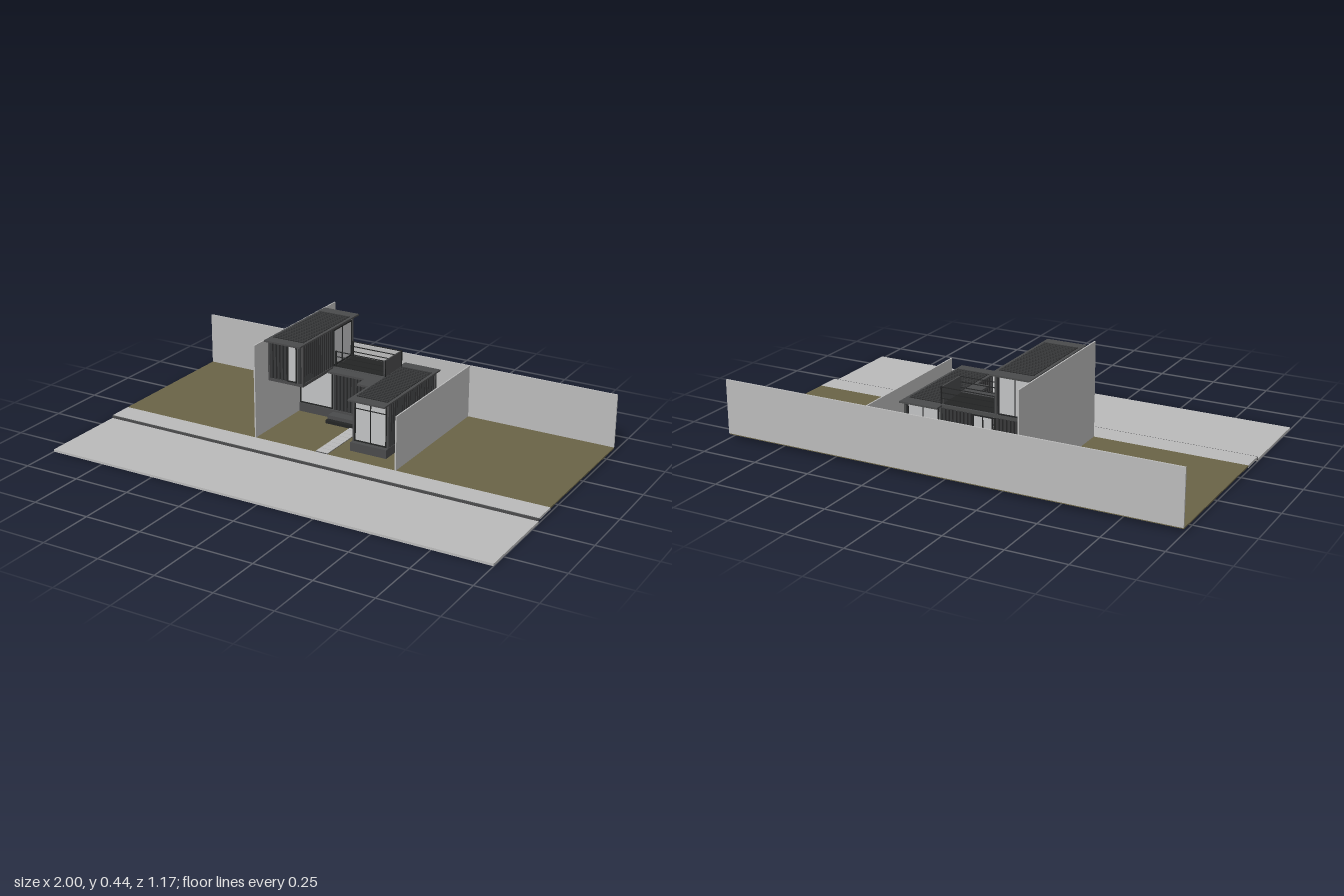
import * as THREE from 'three';

const mat = (name, color) => {
  const m = new THREE.MeshStandardMaterial({ color });
  m.name = name;
  return m;
};

export function createModel() {
  const concrete = mat('concrete', 0xbcbcbc);
  const grass = mat('grass', 0x6b6447);
  const steel = mat('grey steel', 0x4a4b4c);
  const cladding = mat('dark cladding', 0x38393a);
  const black = mat('near black', 0x232425);
  const glass = mat('pale glass', 0xc2c3c4);
  const model = new THREE.Group();
  model.name = 'containerHouse';

  const group = (name) => {
    const g = new THREE.Group();
    g.name = name;
    model.add(g);
    return g;
  };
  // Box given by its minimum and maximum on each axis
  const box = (parent, name, m, x0, x1, y0, y1, z0, z1) => {
    const mesh = new THREE.Mesh(new THREE.BoxGeometry(x1 - x0, y1 - y0, z1 - z0), m);
    mesh.position.set((x0 + x1) / 2, (y0 + y1) / 2, (z0 + z1) / 2);
    mesh.name = name;
    parent.add(mesh);
  };
  // Box on a wall: axis 'z' runs u along x, axis 'x' runs u along z;
  // p is the wall plane and d the signed thickness
  const onWall = (parent, name, m, axis, p, d, u0, u1, y0, y1) => {
    const a = Math.min(p, p + d), b = Math.max(p, p + d);
    if (axis === 'z') box(parent, name, m, u0, u1, y0, y1, a, b);
    else box(parent, name, m, a, b, y0, y1, u0, u1);
  };
  // Upright corrugation
  const ribs = (parent, axis, p, side, u0, u1, y0, y1) => {
    const n = Math.max(1, Math.round((u1 - u0) / 0.0165)), s = (u1 - u0) / n;
    for (let i = 0; i < n; i++)
      onWall(parent, 'wallRib', cladding, axis, p, side * 0.006, u0 + s * (i + 0.2), u0 + s * (i + 0.8), y0, y1);
  };
  // Framed pane with optional mullion and transom positions
  const pane = (parent, axis, p, side, u0, u1, y0, y1, mullions = [], transoms = []) => {
    const f = 0.005, d = side * 0.008;
    onWall(parent, 'windowGlass', glass, axis, p, side * 0.004, u0, u1, y0, y1);
    for (const u of [u0, u1 - f]) onWall(parent, 'windowFrame', black, axis, p, d, u, u + f, y0, y1);
    for (const y of [y0, y1 - f]) onWall(parent, 'windowFrame', black, axis, p, d, u0, u1, y, y + f);
    for (const u of mullions) onWall(parent, 'mullion', black, axis, p, d, u - 0.0015, u + 0.0015, y0, y1);
    for (const y of transoms) onWall(parent, 'transom', black, axis, p, d, u0, u1, y - 0.0015, y + 0.0015);
  };
  // Overhanging roof frame with a ribbed centre
  const roof = (parent, x0, x1, y0, z0, z1) => {
    box(parent, 'roofFrame', steel, x0, x1, y0, y0 + 0.007, z0, z1);
    const a = x0 + 0.013, b = x1 - 0.013, c = z0 + 0.055, d = z1 - 0.05, n = 24, s = (d - c) / n;
    box(parent, 'roofPanel', black, a, b, y0 + 0.005, y0 + 0.008, c, d);
    for (let i = 0; i < n; i++)
      box(parent, 'roofRib', cladding, a, b, y0 + 0.007, y0 + 0.0105, c + s * (i + 0.25), c + s * (i + 0.7));
  };

  // Ground and boundary walls
  const site = group('site');
  box(site, 'road', concrete, -1, 1, 0, 0.01, 0.188, 0.585);
  box(site, 'sidewalk', concrete, -1, 1, 0.012, 0.022, 0.08, 0.184);
  box(site, 'curb', steel, -1, 1, 0.005, 0.02, 0.184, 0.191);
  box(site, 'lawn', grass, -1, 1, 0.016, 0.022, -0.58, 0.08);
  box(site, 'backWall', concrete, -1, 1, 0.022, 0.255, -0.585, -0.578);
  box(site, 'leftWall', concrete, 0.327, 0.333, 0.022, 0.255, -0.578, 0.08);
  box(site, 'rightWall', concrete, -0.337, -0.331, 0.022, 0.43, -0.578, 0.08);

  // Paved path
  const path = group('path');
  box(path, 'pathBed', steel, -0.04, 0.015, 0.022, 0.0235, -0.25, 0.08);
  for (let i = 0; i < 8; i++)
    box(path, 'paver', concrete, -0.04, 0.015, 0.0235, 0.026, 0.043 - i * 0.036, 0.076 - i * 0.036);

  // Lower cross container carrying the terrace
  const cross = group('crossContainer');
  box(cross, 'body', black, -0.328, 0.08, 0.03, 0.25, -0.43, -0.275);
  box(cross, 'base', steel, -0.33, 0.08, 0.022, 0.06, -0.435, -0.265);
  box(cross, 'topFrame', steel, -0.33, 0.08, 0.242, 0.256, -0.435, -0.265);
  box(cross, 'terraceFloor', black, -0.155, 0.075, 0.255, 0.259, -0.425, -0.28);
  pane(cross, 'z', -0.275, 1, -0.327, -0.163, 0.062, 0.242);
  ribs(cross, 'z', -0.275, 1, -0.16, 0.075, 0.06, 0.245);
  ribs(cross, 'z', -0.43, -1, -0.325, -0.16, 0.06, 0.245);
  pane(cross, 'z', -0.43, -1, -0.15, -0.06, 0.062, 0.242, [-0.105]);
  ribs(cross, 'z', -0.43, -1, -0.055, 0.075, 0.06, 0.245);

  // Entrance deck, step and canopy
  const porch = group('porch');
  box(porch, 'deck', steel, -0.16, 0.075, 0.022, 0.052, -0.265, -0.22);
  box(porch, 'step', black, -0.16, 0.04, 0.022, 0.036, -0.22, -0.2);
  box(porch, 'canopy', steel, -0.155, 0.075, 0.246, 0.255, -0.265, -0.215);
  box(porch, 'canopyReturn', steel, 0.022, 0.075, 0.246, 0.255, -0.215, -0.15);
  box(porch, 'canopyPost', black, 0.055, 0.062, 0.022, 0.246, -0.165, -0.158);

  // Terrace railings
  const railing = group('terraceRailing');
  for (const z of [-0.28, -0.425]) {
    for (const y of [0.277, 0.3, 0.323])
      box(railing, 'rail', black, -0.155, 0.085, y, y + 0.003, z - 0.002, z + 0.002);
    for (const x of [-0.157, 0.08])
      box(railing, 'post', black, x, x + 0.006, 0.255, 0.327, z - 0.003, z + 0.003);
  }
  box(railing, 'sidePanel', steel, 0.079, 0.085, 0.255, 0.326, -0.418, -0.275);

  // Lower front-to-back container
  const low = group('lowerContainer');
  box(low, 'body', black, 0.085, 0.237, 0.03, 0.25, -0.43, -0.025);
  box(low, 'base', steel, 0.077, 0.245, 0.022, 0.06, -0.44, 0);
  roof(low, 0.075, 0.245, 0.248, -0.475, 0.02);
  for (const x of [0.077, 0.237]) for (const z of [-0.44, -0.03])
    box(low, 'cornerPost', steel, x, x + 0.008, 0.06, 0.249, z, z + 0.012);
  pane(low, 'z', -0.025, 1, 0.086, 0.236, 0.062, 0.243, [0.161], [0.207]);
  pane(low, 'z', -0.43, -1, 0.09, 0.232, 0.062, 0.243, [0.161]);
  ribs(low, 'x', 0.237, 1, -0.425, -0.02, 0.06, 0.248);
  ribs(low, 'x', 0.085, -1, -0.265, -0.02, 0.06, 0.248);

  // Upper cantilevered container
  const up = group('upperContainer');
  box(up, 'body', black, -0.322, -0.168, 0.256, 0.428, -0.43, -0.026);
  box(up, 'floorFrame', steel, -0.33, -0.16, 0.246, 0.259, -0.44, -0.02);
  roof(up, -0.33, -0.157, 0.426, -0.48, 0.01);
  for (const x of [-0.33, -0.168]) for (const z of [-0.44, -0.03])
    box(up, 'cornerPost', steel, x, x + 0.008, 0.256, 0.428, z, z + 0.01);
  ribs(up, 'z', -0.026, 1, -0.322, -0.238, 0.259, 0.426);
  pane(up, 'z', -0.026, 1, -0.236, -0.19, 0.259, 0.426);
  ribs(up, 'z', -0.026, 1, -0.188, -0.168, 0.259, 0.426);
  ribs(up, 'x', -0.168, 1, -0.27, -0.03, 0.259, 0.426);
  pane(up, 'x', -0.168, 1, -0.428, -0.273, 0.259, 0.421, [-0.347]);
  pane(up, 'z', -0.43, -1, -0.318, -0.172, 0.259, 0.424, [-0.245]);
  ribs(up, 'x', -0.322, -1, -0.43, -0.03, 0.259, 0.426);

  return model;
}
